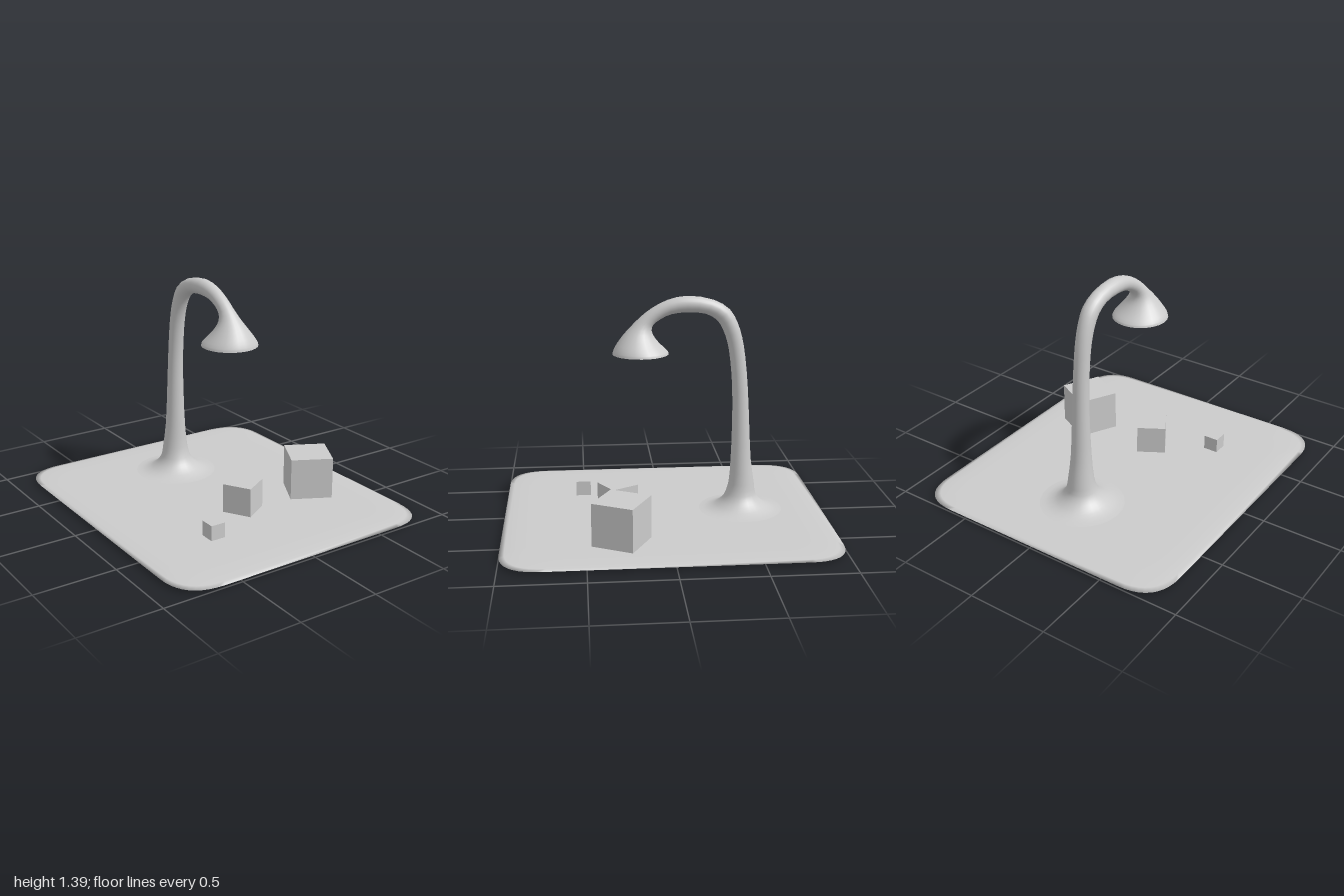
import * as THREE from 'three';

const material = new THREE.MeshStandardMaterial({ color: 0xcccccc, side: THREE.DoubleSide });

// Skin a series of closed rings (each wound counter-clockwise about the loft direction)
function loft(name, rings) {
  const n = rings[0].length;
  const positions = rings.flat().flatMap(p => [p.x, p.y, p.z]);
  const index = [];
  for (let i = 0; i < rings.length - 1; i++) {
    for (let j = 0; j < n; j++) {
      const k = (j + 1) % n;
      const a = i * n + j, b = i * n + k, c = a + n, d = b + n;
      index.push(a, b, d, a, d, c);
    }
  }
  const geometry = new THREE.BufferGeometry();
  geometry.setAttribute('position', new THREE.Float32BufferAttribute(positions, 3));
  geometry.setIndex(index);
  geometry.computeVertexNormals();
  const mesh = new THREE.Mesh(geometry, material);
  mesh.name = name;
  return mesh;
}

// Thin ground slab with soft corners and a lens-shaped rim
function createGround() {
  const W = 0.87, D = 1, R = 0.25;
  const shape = new THREE.Shape();
  shape.moveTo(W, -D + R);
  shape.lineTo(W, D - R);
  shape.quadraticCurveTo(W, D, W - R, D);
  shape.lineTo(-W + R, D);
  shape.quadraticCurveTo(-W, D, -W, D - R);
  shape.lineTo(-W, -D + R);
  shape.quadraticCurveTo(-W, -D, -W + R, -D);
  shape.lineTo(W - R, -D);
  shape.quadraticCurveTo(W, -D, W, -D + R);
  const outline = shape.getPoints(10).slice(0, -1);
  // [scale, height] from the underside centre, around the rim, to the top centre
  const profile = [
    [0, 0], [0.8, 0], [0.9, 0.002], [0.97, 0.007], [1, 0.015],
    [0.97, 0.021], [0.9, 0.025], [0.8, 0.027], [0, 0.027],
  ];
  return loft('groundSlab', profile.map(([s, y]) =>
    outline.map(p => new THREE.Vector3(p.x * s, y, -p.y * s))));
}

// Flared post, bent neck and bell shade as one continuous swept skin
function createLamp() {
  // Base flare: [radius, height] around z = -0.485
  const flare = [
    [0.32, 0.024], [0.23, 0.03], [0.175, 0.047], [0.14, 0.07],
    [0.115, 0.095], [0.095, 0.13],
  ].map(([r, y]) => [-0.485 - r, y, -0.485 + r, y]);
  // Opposite edge points: [outer z, outer y, inner z, inner y]
  const sections = [
    ...flare,
    [-0.57, 0.2, -0.41, 0.2],
    [-0.548, 0.35, -0.42, 0.35],
    [-0.535, 0.55, -0.425, 0.55],
    [-0.52, 0.81, -0.423, 0.8],
    [-0.5, 1.01, -0.407, 0.99],
    [-0.479, 1.13, -0.388, 1.1],
    [-0.45, 1.22, -0.36, 1.18],
    [-0.4, 1.305, -0.322, 1.24],
    [-0.3, 1.365, -0.25, 1.28],
    [-0.14, 1.39, -0.14, 1.29],
    [-0.02, 1.367, -0.045, 1.28],
    [0.08, 1.315, 0.02, 1.252],
    [0.15, 1.26, 0.066, 1.215],
    [0.205, 1.205, 0.076, 1.18],
    [0.25, 1.155, 0.055, 1.135],
    [0.29, 1.1, 0.012, 1.087],
    [0.311, 1.06, -0.022, 1.055],
    [0.316, 1.04, -0.028, 1.04],
  ];
  const outer = new THREE.CatmullRomCurve3(sections.map(s => new THREE.Vector3(0, s[1], s[0])));
  const inner = new THREE.CatmullRomCurve3(sections.map(s => new THREE.Vector3(0, s[3], s[2])));
  const sides = 24, steps = (sections.length - 1) * 2;
  const rings = [];
  for (let i = 0; i <= steps; i++) {
    const a = outer.getPoint(i / steps), b = inner.getPoint(i / steps);
    const centre = a.clone().add(b).multiplyScalar(0.5);
    const arm = a.clone().sub(centre);
    const r = arm.length();
    const ring = [];
    for (let j = 0; j < sides; j++) {
      const t = (j / sides) * Math.PI * 2;
      const p = centre.clone().addScaledVector(arm, Math.cos(t));
      p.x = -Math.sin(t) * r;
      ring.push(p);
    }
    rings.push(ring);
  }
  return loft('lampPostAndShade', rings);
}

function createCube(name, size, x, z, degrees) {
  const mesh = new THREE.Mesh(new THREE.BoxGeometry(size, size, size), material);
  mesh.name = name;
  mesh.position.set(x, 0.027 + size / 2, z);
  mesh.rotation.y = THREE.MathUtils.degToRad(degrees);
  return mesh;
}

export function createModel() {
  const model = new THREE.Group();
  model.name = 'streetLampScene';
  model.add(
    createGround(),
    createLamp(),
    createCube('smallCube', 0.094, -0.357, 0.505, 0),
    createCube('mediumCube', 0.183, 0, 0.293, 30.5),
    createCube('largeCube', 0.263, 0.508, 0.292, -27.6),
  );
  return model;
}
